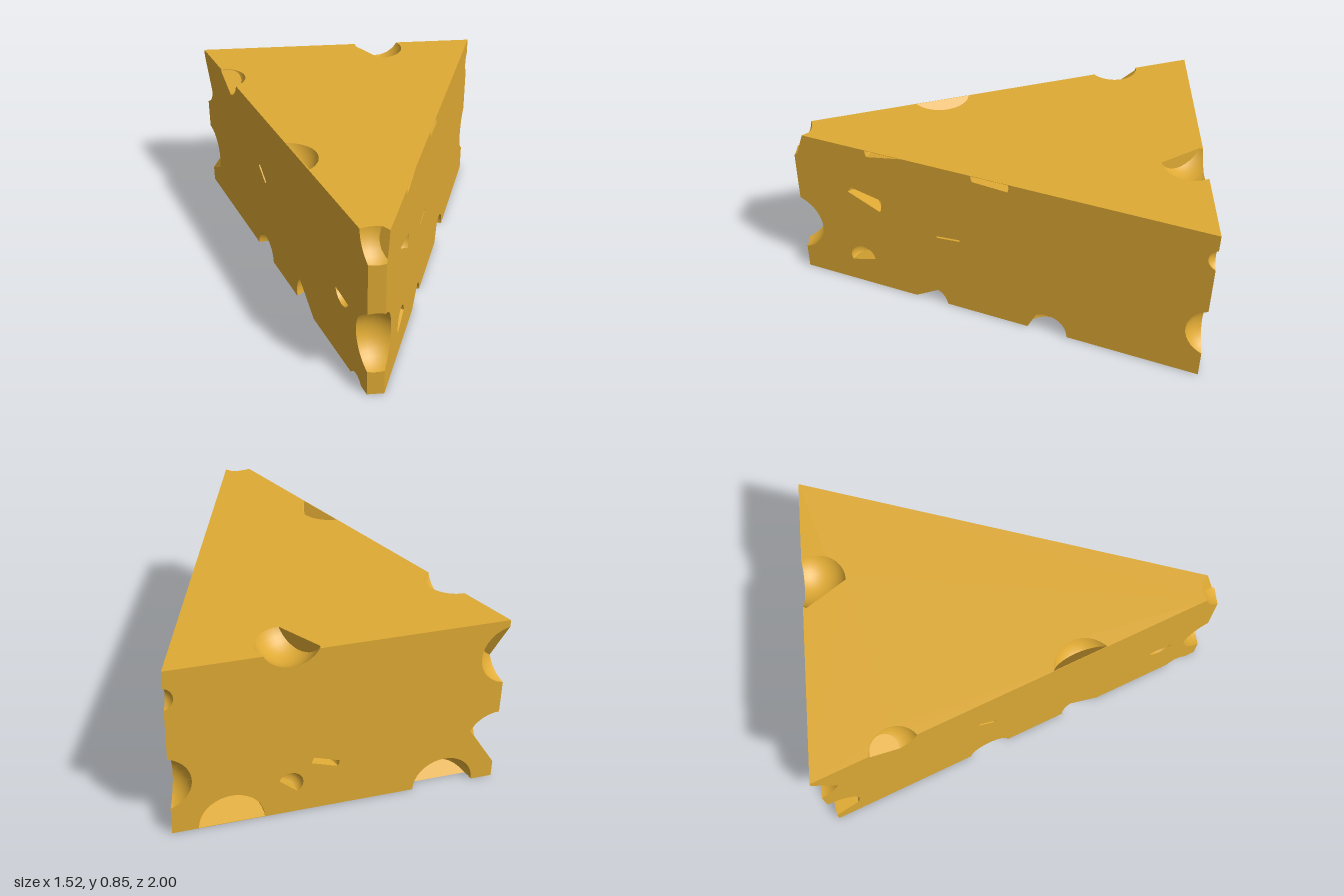
import * as THREE from 'three';

const V = (x, y, z) => new THREE.Vector3(x, y, z);
const plane = (nx, ny, nz, px, py, pz) =>
  new THREE.Plane().setFromNormalAndCoplanarPoint(V(nx, ny, nz).normalize(), V(px, py, pz));

// Wedge dimensions
const BACK = 0.76, TIP = 0.04, H = 0.853;
const ring = y => [V(-TIP, y, 1), V(TIP, y, 1), V(BACK, y, -1), V(-BACK, y, -1)];
const lo = ring(0), hi = ring(H);
// Outlines of the six faces, counter-clockwise from outside
const outlines = [hi, [...lo].reverse()];
for (let i = 0; i < 4; i++) {
  const j = (i + 1) % 4;
  outlines.push([lo[i], lo[j], hi[j], hi[i]]);
}
const facePlanes = outlines.map(o => new THREE.Plane().setFromCoplanarPoints(o[0], o[1], o[2]));

// Two axes lying in a plane, with u x v = n
function axes(n) {
  const u = (Math.abs(n.y) > 0.9 ? V(1, 0, 0) : V(0, 1, 0)).cross(n).normalize();
  return [u, n.clone().cross(u)];
}

// Cut a convex solid (list of tagged polygons) and close it with a cap
function cut(solid, pl, tag) {
  const out = [], rim = [], EPS = 1e-8;
  for (const { pts, tag: t } of solid) {
    const d = pts.map(p => pl.distanceToPoint(p)), keep = [];
    if (!d.some(x => x < -EPS)) continue;
    pts.forEach((p, i) => {
      const j = (i + 1) % pts.length;
      if (d[i] <= EPS) keep.push(p);
      if (Math.abs(d[i]) <= EPS) rim.push(p);
      if ((d[i] < -EPS && d[j] > EPS) || (d[i] > EPS && d[j] < -EPS)) {
        const q = p.clone().lerp(pts[j], d[i] / (d[i] - d[j]));
        keep.push(q);
        rim.push(q);
      }
    });
    if (keep.length > 2) out.push({ pts: keep, tag: t });
  }
  const cap = [];
  for (const p of rim) if (!cap.some(q => q.distanceTo(p) < 1e-6)) cap.push(p);
  if (cap.length > 2) {
    const [u, v] = axes(pl.normal), c = V(0, 0, 0);
    cap.forEach(p => c.addScaledVector(p, 1 / cap.length));
    const ang = p => { const e = p.clone().sub(c); return Math.atan2(e.dot(v), e.dot(u)); };
    cap.sort((a, b) => ang(a) - ang(b));
    out.push({ pts: cap, tag });
  }
  return out;
}

// Position along a convex outline (edge index + fraction), or -1 when off it
function along(outline, p) {
  for (let i = 0; i < outline.length; i++) {
    const a = outline[i], e = outline[(i + 1) % outline.length].clone().sub(a);
    const t = THREE.MathUtils.clamp(p.clone().sub(a).dot(e) / e.lengthSq(), 0, 1);
    if (a.clone().addScaledVector(e, t).distanceTo(p) < 1e-6) return i + t;
  }
  return -1;
}

// Outline minus bites: bites on the rim reshape the loop, the others are holes
function carve(outline, bites) {
  const N = outline.length, holes = [], chains = [], loops = [];
  for (const b of bites) {
    const q = [...b].reverse(), n = q.length;
    const inner = q.map((p, i) => along(outline, p.clone().lerp(q[(i + 1) % n], 0.5)) < 0);
    if (inner.every(Boolean)) { holes.push(q); continue; }
    inner.forEach((f, i) => {
      if (!f || inner[(i + n - 1) % n]) return;
      const pts = [q[i]];
      for (let k = i; inner[k % n]; k++) pts.push(q[(k + 1) % n]);
      chains.push({ pts, from: along(outline, pts[0]), to: along(outline, pts[pts.length - 1]) });
    });
  }
  if (!chains.length) loops.push([...outline]);
  for (const first of chains) {
    if (first.used) continue;
    const loop = [];
    let c = first;
    while (!c.used) {
      c.used = true;
      loop.push(...c.pts);
      const gap = s => (s - c.to + 2 * N) % N;
      const next = chains.reduce((a, b) => (gap(b.from) < gap(a.from) ? b : a));
      outline.map((p, i) => [gap(i), p])
        .filter(([g]) => g > 1e-5 && g < gap(next.from) - 1e-5)
        .sort((a, b) => a[0] - b[0]).forEach(([, p]) => loop.push(p));
      c = next;
    }
    loops.push(loop);
  }
  return { loops, holes };
}

function makeMesh(name, pos, nor, material) {
  const g = new THREE.BufferGeometry();
  g.setAttribute('position', new THREE.Float32BufferAttribute(pos, 3));
  g.setAttribute('normal', new THREE.Float32BufferAttribute(nor, 3));
  const m = new THREE.Mesh(g, material);
  m.name = name;
  return m;
}

export function createModel() {
  const group = new THREE.Group();
  group.name = 'cheeseWedge';
  const cheese = new THREE.MeshStandardMaterial({ color: 0xdfaa34 });
  const bites = outlines.map(() => []);

  // A bubble: part of a ball, trimmed by flat cuts and by the wedge faces
  function dent(name, x, y, z, r, ...cuts) {
    const c = V(x, y, z), pos = [], nor = [];
    const a = new THREE.SphereGeometry(r, 32, 18).toNonIndexed().attributes.position;
    let solid = [];
    for (let i = 0; i < a.count; i += 3)
      solid.push({ tag: 'ball', pts: [0, 1, 2].map(k => V().fromBufferAttribute(a, i + k).add(c)) });
    for (const k of cuts) { const pl = plane(...k); solid = cut(solid, pl, pl); }
    facePlanes.forEach((pl, i) => { solid = cut(solid, pl, i); });
    for (const { pts, tag } of solid) {
      if (typeof tag === 'number') { bites[tag].push(pts); continue; }
      for (let i = 1; i < pts.length - 1; i++)
        for (const p of [pts[0], pts[i + 1], pts[i]]) {
          pos.push(p.x, p.y, p.z);
          const n = tag === 'ball' ? c.clone().sub(p).normalize() : tag.normal.clone().negate();
          nor.push(n.x, n.y, n.z);
        }
    }
    group.add(makeMesh(name, pos, nor, cheese));
  }

  // Tip
  dent('tipDent', 0, 0.295, 1.042, 0.172);
  dent('tipTopDent', -0.003, 0.862, 1.07, 0.163, [1, -0.41, -0.91, 0.06, 0.853, 0.945]);
  // Top rim
  dent('topBackDent', 0.22, 0.917, -0.93, 0.154, [-0.83, 0, 0.55, 0.22, 0.853, -0.79]);
  dent('topRightBackDent', -0.655, 0.884, -0.605, 0.129, [0.26, -0.85, -0.59, -0.667, 0.853, -0.75]);
  dent('topRightDent', -0.345, 0.9, 0.3, 0.157, [-0.75, -0.6, 0.27, -0.297, 0.853, 0.28]);
  // Left side
  dent('leftTopFrontDent', 0.209, 0.86, 0.53, 0.1,
    [0, -0.98, -0.2, 0.18, 0.815, 0.62], [-0.5, 0.86, -0.18, 0.209, 0.851, 0.53]);
  dent('leftTopDent', 0.396, 0.86, 0.01, 0.1,
    [0, -1, 0.06, 0.4, 0.815, 0.01], [-0.5, 0.86, -0.18, 0.396, 0.851, 0.01]);
  dent('leftUpperDent', 0.17, 0.555, 0.64, 0.097,
    [-0.4, 0.85, -0.34, 0.14, 0.607, 0.722], [0, -0.9, 0.44, 0.14, 0.57, 0.722]);
  dent('leftSlit', 0.32, 0.437, 0.22, 0.062,
    [0, 1, 0.1, 0.32, 0.441, 0.22], [0, -1, -0.1, 0.32, 0.431, 0.22]);
  dent('leftLowerDent', 0.155, 0.165, 0.68, 0.07, [0, -0.95, -0.3, 0.155, 0.15, 0.68]);
  dent('leftBottomFrontDent', 0.285, -0.008, 0.32, 0.094, [0, 0.84, 0.55, 0.26, 0, 0.4]);
  dent('leftBottomDent', 0.5, 0.002, -0.273, 0.108, [0, 0.4, 0.91, 0.46, 0, -0.18]);
  // Right side
  dent('rightSlit', -0.465, 0.5, -0.18, 0.055,
    [0, 0.78, 0.63, -0.465, 0.508, -0.173], [0, -0.78, -0.63, -0.465, 0.495, -0.188]);
  dent('rightFrontDent', -0.13, 0.4, 0.75, 0.073, [0, 1, 0.1, -0.13, 0.378, 0.75]);
  dent('rightBottomDent', -0.465, 0.002, -0.18, 0.107);
  dent('rightBottomMiddleDent', -0.19, 0.03, 0.34, 0.17, [0, 0.77, 0.64, -0.25, 0, 0.43]);
  dent('rightBottomFrontDent', -0.08, -0.03, 0.89, 0.063);
  // Back corners
  dent('backLeftLowerDent', 0.8, 0.275, -1.04, 0.146);
  dent('backLeftUpperDent', 0.775, 0.715, -1.015, 0.059);
  dent('backRightUpperDent', -0.79, 0.675, -1.04, 0.153, [0, 0.42, 0.9, -0.76, 0.82, -1]);
  dent('backRightLowerDent', -0.763, 0.22, -1.003, 0.15, [0.83, -0.55, 0, -0.627, 0.284, -1]);
  // Back
  dent('backBottomLeftDent', 0.49, 0.003, -0.98, 0.152, [0, -1, 0.3, 0.49, 0.002, -1]);
  dent('backBottomRightDent', -0.512, 0.003, -1.003, 0.147, [0, -1, 0.5, -0.5, 0, -0.95]);
  dent('backDent', 0.22, 0.163, -1.003, 0.058, [0.65, -0.75, 0, 0.228, 0.148, -1]);
  dent('backSlit', 0.06, 0.25, -1.003, 0.065,
    [-0.32, 0.95, 0, 0.06, 0.268, -1], [0.32, -0.95, 0, 0.06, 0.235, -1]);
  // Underside
  dent('bottomDent', 0.03, 0.003, -0.05, 0.174, [0.86, 0, -0.51, 0.033, 0, -0.051]);
  dent('bottomFrontDent', -0.05, 0.003, 0.6, 0.078, [-0.98, 0, 0.2, -0.052, 0, 0.6]);

  // Wedge faces with the openings left out
  const pos = [], nor = [];
  outlines.forEach((outline, f) => {
    const n = facePlanes[f].normal, [u, v] = axes(n);
    const flat = l => l.map(p => new THREE.Vector2(p.dot(u), p.dot(v)));
    const { loops, holes } = carve(outline, bites[f]);
    loops.forEach((loop, i) => {
      const inner = i === 0 ? holes : [];
      const all = [loop, ...inner].flat();
      for (const t of THREE.ShapeUtils.triangulateShape(flat(loop), inner.map(flat)))
        for (const k of t) {
          pos.push(all[k].x, all[k].y, all[k].z);
          nor.push(n.x, n.y, n.z);
        }
    });
  });
  group.add(makeMesh('wedge', pos, nor, cheese));
  return group;
}
